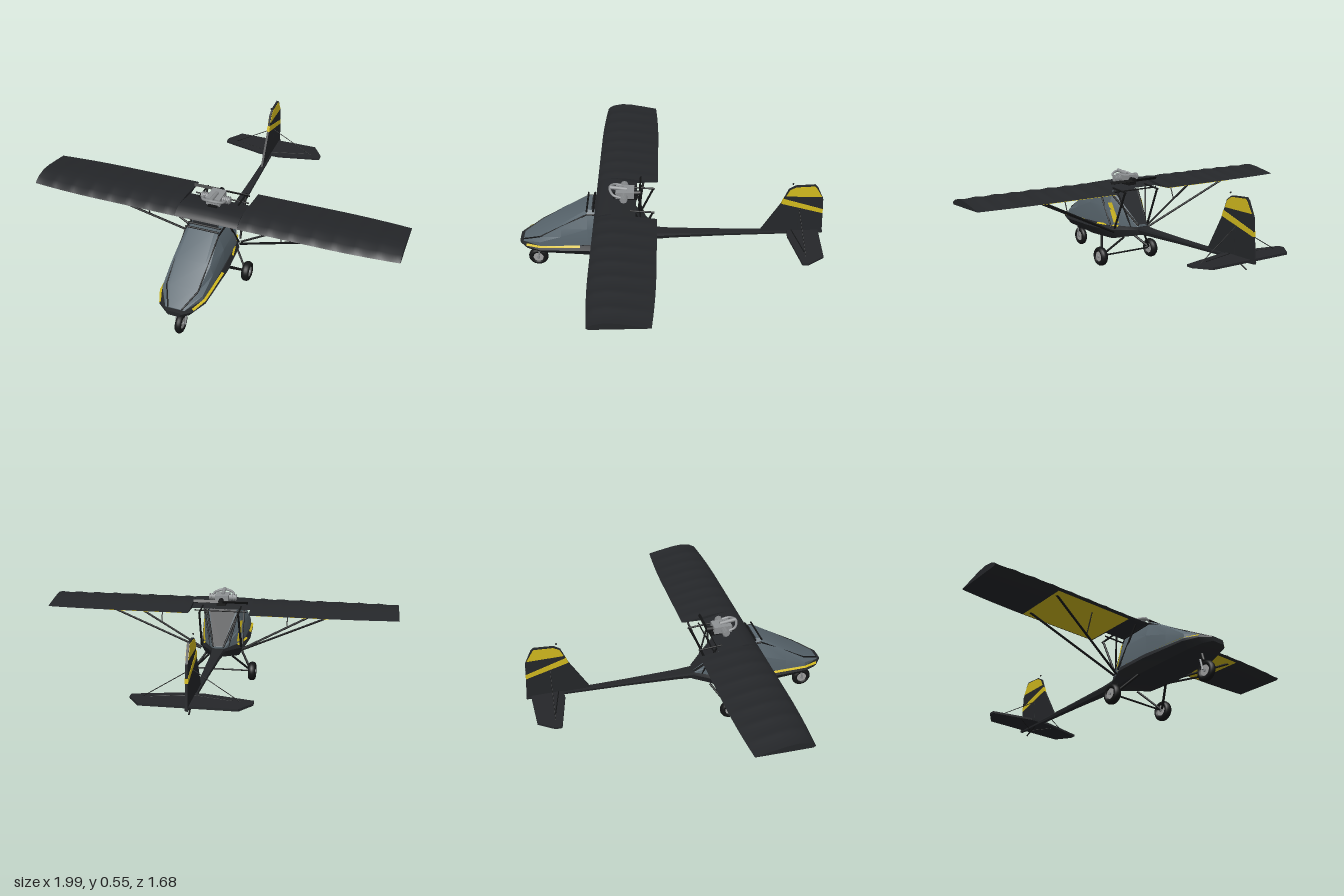
import * as THREE from 'three';
import { toCreasedNormals } from 'three/addons/utils/BufferGeometryUtils.js';

const paint = (color) => new THREE.MeshStandardMaterial({ color, side: THREE.DoubleSide });
const BLACK = paint(0x25272a), DARK = paint(0x141516), GLASS = paint(0x5a676f);
const YELLOW = paint(0xd2ba1e), METAL = paint(0x8f9294), RIM = paint(0xa0a0a0);
const V = (p) => new THREE.Vector3(...p);

export function createModel() {
  const model = new THREE.Group();
  model.name = 'ultralightAircraft';

  function add(name, geometry, material, parent = model) {
    const mesh = new THREE.Mesh(geometry, material);
    mesh.name = name;
    parent.add(mesh);
    return mesh;
  }

  // Skin through equal-length closed rings, capped at both ends
  function loft(rings, crease = 0.5) {
    const pos = [], n = rings[0].length, last = rings.length - 1;
    const tri = (a, b, c) => pos.push(...a, ...b, ...c);
    for (let i = 0; i < last; i++) {
      for (let j = 0; j < n; j++) {
        const k = (j + 1) % n, A = rings[i], B = rings[i + 1];
        tri(A[j], B[j], A[k]);
        tri(A[k], B[j], B[k]);
      }
    }
    for (let j = 1; j < n - 1; j++) {
      tri(rings[0][0], rings[0][j], rings[0][j + 1]);
      tri(rings[last][0], rings[last][j + 1], rings[last][j]);
    }
    const g = new THREE.BufferGeometry();
    g.setAttribute('position', new THREE.Float32BufferAttribute(pos, 3));
    return toCreasedNormals(g, crease);
  }

  // Straight round bar between two points
  function bar(name, a, b, r = 0.005, material = DARK, parent = model) {
    const p = V(a), q = V(b), d = q.clone().sub(p);
    const m = add(name, new THREE.CylinderGeometry(r, r, d.length(), 8), material, parent);
    m.position.copy(p).add(q).multiplyScalar(0.5);
    m.quaternion.setFromUnitVectors(new THREE.Vector3(0, 1, 0), d.normalize());
    return m;
  }

  // Mirrored pair of bars
  function bars(name, a, b, r, material) {
    for (const s of [1, -1]) bar(name, [a[0] * s, a[1], a[2]], [b[0] * s, b[1], b[2]], r, material);
  }

  function panel(name, pts, material) {
    const g = new THREE.BufferGeometry().setFromPoints([0, 1, 2, 0, 2, 3].map((i) => V(pts[i])));
    g.computeVertexNormals();
    return add(name, g, material);
  }

  const plate = (pts, depth) => new THREE.ExtrudeGeometry(
    new THREE.Shape(pts.map((p) => new THREE.Vector2(...p))), { depth, bevelEnabled: false });

  // Hull and tail boom: z, bottom, top, half width
  const hullRing = ([z, b, t, w]) => [[w * 0.9, t, z], [-w * 0.9, t, z], [-w, t - (t - b) * 0.35, z],
    [-w * 0.75, b, z], [w * 0.75, b, z], [w, t - (t - b) * 0.35, z]];
  add('hull', loft([[0.84, 0.175, 0.2, 0.04], [0.8, 0.165, 0.205, 0.09], [0.72, 0.155, 0.21, 0.122],
    [0.45, 0.145, 0.225, 0.138], [0.25, 0.15, 0.23, 0.128], [0.15, 0.175, 0.235, 0.07],
    [0.08, 0.192, 0.237, 0.036]].map(hullRing)), BLACK);
  add('tailBoom', loft([[0.1, 0.195, 0.236, 0.038], [0, 0.2, 0.233, 0.03], [-0.3, 0.21, 0.233, 0.02],
    [-0.84, 0.222, 0.236, 0.009]].map(hullRing)), BLACK);

  // Canopy: z, bottom, top, half width below and above
  const canopyRing = ([z, b, t, w, u]) => {
    const half = [[w, b], [w, b + (t - b) * 0.55], [u, t - (t - b) * 0.08], [u * 0.75, t]];
    return [...half.map(([x, y]) => [x, y, z]), ...half.reverse().map(([x, y]) => [-x, y, z])];
  };
  add('canopy', loft([[0.82, 0.198, 0.206, 0.05, 0.035], [0.72, 0.205, 0.262, 0.108, 0.085],
    [0.6, 0.21, 0.336, 0.116, 0.1], [0.455, 0.215, 0.428, 0.118, 0.09], [0.26, 0.225, 0.418, 0.116, 0.09],
    [0.09, 0.23, 0.246, 0.035, 0.027]].map(canopyRing), 0.35), GLASS);
  panel('rearFairing', [[0.078, 0.422, 0.262], [-0.078, 0.422, 0.262], [-0.026, 0.25, 0.085], [0.026, 0.25, 0.085]], BLACK);
  panel('roof', [[0.07, 0.431, 0.43], [-0.07, 0.431, 0.43], [-0.07, 0.421, 0.26], [0.07, 0.421, 0.26]], BLACK);
  bars('windscreenFrame', [0.084, 0.257, 0.72], [0.09, 0.411, 0.455], 0.004);
  bars('windscreenFrame', [0.036, 0.206, 0.82], [0.084, 0.257, 0.72], 0.004);
  bars('roofRail', [0.09, 0.411, 0.455], [0.09, 0.403, 0.26], 0.005);
  bars('rearFrame', [0.09, 0.405, 0.26], [0.028, 0.244, 0.09], 0.006);
  for (const z of [0.455, 0.42]) bar('roofCrossTube', [-0.09, 0.43, z], [0.09, 0.43, z], 0.005);

  // Yellow trim on the cabin and hull rim
  for (const s of [1, -1]) {
    panel('cabinStripe', [[0.114 * s, 0.36, 0.268], [0.103 * s, 0.36, 0.242],
      [0.092 * s, 0.25, 0.188], [0.108 * s, 0.25, 0.22]], YELLOW);
    panel('hullStripe', [[0.082 * s, 0.21, 0.8], [0.112 * s, 0.215, 0.72],
      [0.124 * s, 0.209, 0.72], [0.092 * s, 0.2, 0.8]], YELLOW);
    panel('hullStripe', [[0.112 * s, 0.215, 0.72], [0.124 * s, 0.225, 0.5],
      [0.136 * s, 0.217, 0.5], [0.124 * s, 0.209, 0.72]], YELLOW);
    panel('sillStripe', [[0.126 * s, 0.231, 0.36], [0.092 * s, 0.238, 0.19],
      [0.101 * s, 0.229, 0.19], [0.135 * s, 0.223, 0.36]], YELLOW);
  }

  // Wing with shallow scallops between the ribs and a notch for the propeller
  const profile = [[0, 0.441], [0.25, 0.457], [0.5, 0.471], [0.7, 0.476], [0.88, 0.466], [0.97, 0.452],
    [1, 0.441], [0.96, 0.434], [0.5, 0.437]];
  const wingRing = (x, te) => {
    const a = Math.abs(x), tip = Math.max(0, (a - 0.6) / 0.4) ** 2;
    const z0 = te + 0.018 * tip, z1 = 0.41 - 0.018 * tip;
    const sag = 0.005 * Math.abs(Math.sin(a * Math.PI * 9));
    return profile.map(([f, y], i) => [x, y - (i > 0 && i < 6 ? sag : 0), z0 + f * (z1 - z0)]);
  };
  const stations = [];
  for (let i = 0; i <= 60; i++) stations.push(0.995 - (0.825 * i) / 60);
  add('wing', loft([...stations.map((x) => wingRing(x, 0.075)), wingRing(0.17, 0.19), wingRing(0, 0.19),
    wingRing(-0.17, 0.19), ...stations.reverse().map((x) => wingRing(-x, 0.075))], 0.6), BLACK);
  for (const s of [1, -1]) {
    panel('wingUndersidePanel', [[0.18 * s, 0.4325, 0.395], [0.63 * s, 0.4325, 0.395],
      [0.63 * s, 0.437, 0.085], [0.18 * s, 0.437, 0.085]], YELLOW);
  }

  // Wing struts and cabin pylon tubes
  bars('frontWingStrut', [0.12, 0.2, 0.22], [0.61, 0.436, 0.35], 0.006);
  bars('rearWingStrut', [0.12, 0.2, 0.2], [0.61, 0.438, 0.12], 0.006);
  bars('juryStrut', [0.37, 0.32, 0.285], [0.37, 0.437, 0.33], 0.003);
  bars('pylonTube', [0.115, 0.22, 0.2], [0.11, 0.438, 0.1], 0.006);
  bars('pylonTube', [0.118, 0.22, 0.23], [0.11, 0.438, 0.37], 0.005);
  bars('pylonTube', [0.05, 0.235, 0.13], [0.1, 0.44, 0.2], 0.005);
  bar('pylonCrossTube', [-0.15, 0.436, 0.165], [0.15, 0.436, 0.165], 0.004);
  bars('trailingEdgeTube', [0.11, 0.44, 0.09], [0.11, 0.45, 0.22], 0.005);

  // Engine with opposed cylinders, exhaust loop and pusher propeller
  const engine = new THREE.Group();
  engine.name = 'engine';
  engine.position.set(0, 0.495, 0.25);
  model.add(engine);
  add('crankcase', new THREE.BoxGeometry(0.075, 0.04, 0.1), METAL, engine);
  add('engineMount', new THREE.BoxGeometry(0.05, 0.02, 0.13), DARK, engine).position.y = -0.025;
  for (const s of [1, -1]) {
    bar('cylinder', [0.03 * s, 0, 0.005], [0.08 * s, 0, 0.005], 0.016, METAL, engine);
    for (let i = 0; i < 4; i++) {
      const x = (0.044 + i * 0.01) * s;
      bar('coolingFin', [x - 0.002, 0, 0.005], [x + 0.002, 0, 0.005], 0.021, METAL, engine);
    }
  }
  const loop = [[-0.06, 0.005, 0.02], [-0.052, 0.016, 0.06], [0, 0.028, 0.082], [0.052, 0.016, 0.06], [0.06, 0.005, 0.02]];
  add('exhaustLoop', new THREE.TubeGeometry(new THREE.CatmullRomCurve3(loop.map(V)), 24, 0.007, 8), METAL, engine);
  bar('muffler', [0, 0.02, -0.01], [0, 0.032, 0.08], 0.011, METAL, engine);
  bar('propellerShaft', [0, -0.005, -0.05], [0, -0.005, -0.085], 0.014, DARK, engine);
  for (const s of [1, -1]) {
    const blade = add('propellerBlade', new THREE.BoxGeometry(0.15, 0.016, 0.004), DARK, engine);
    blade.position.set(0.08 * s, -0.007, -0.08);
    blade.rotation.x = 0.5 * s;
  }

  // Fin and rudder with yellow tip and band
  function finPlate(name, pts, depth, material) {
    add(name, plate(pts, depth).rotateY(-Math.PI / 2).translate(depth / 2, 0, 0), material);
  }
  finPlate('fin', [[-0.49, 0.23], [-0.6, 0.42], [-0.635, 0.51], [-0.67, 0.533], [-0.775, 0.54], [-0.79, 0.525],
    [-0.825, 0.45], [-0.838, 0.235]], 0.012, BLACK);
  finPlate('finTip', [[-0.622, 0.468], [-0.64, 0.508], [-0.672, 0.527], [-0.772, 0.533], [-0.783, 0.523],
    [-0.817, 0.466]], 0.016, YELLOW);
  finPlate('finBand', [[-0.6, 0.42], [-0.611, 0.452], [-0.829, 0.383], [-0.831, 0.356]], 0.016, YELLOW);
  bar('rudderHinge', [0, 0.235, -0.7], [0, 0.535, -0.7], 0.0065, BLACK);
  add('finBeacon', new THREE.SphereGeometry(0.005, 8, 6), DARK).position.set(0, 0.546, -0.655);

  // Stabilizer, brace wires and tail skid
  const tail = [[0.06, 0.64], [0.3, 0.695], [0.3, 0.73], [0.24, 0.815]];
  add('stabilizer', plate([...tail, ...tail.map(([x, y]) => [-x, y]).reverse()], 0.012)
    .rotateX(-Math.PI / 2).translate(0, 0.228, 0), BLACK);
  bars('elevatorHinge', [0, 0.239, -0.665], [0.2, 0.239, -0.715], 0.003);
  bars('tailBraceWire', [0.24, 0.238, -0.72], [0, 0.385, -0.7], 0.002);
  bars('lowerTailWire', [0.12, 0.23, -0.67], [0, 0.205, -0.74], 0.002);
  bar('tailSkid', [0, 0.235, -0.67], [0, 0.183, -0.78], 0.004);

  // Landing gear
  function wheel(name, x, z, width) {
    const g = new THREE.Group();
    g.name = name;
    g.position.set(x, 0.055, z);
    model.add(g);
    const tyre = add('tyre', new THREE.TorusGeometry(0.0395, 0.0155, 12, 32), DARK, g);
    tyre.rotation.y = Math.PI / 2;
    tyre.scale.z = width / 0.031;
    bar('rim', [-width * 0.35, 0, 0], [width * 0.35, 0, 0], 0.03, RIM, g);
    bar('hub', [-width * 0.5, 0, 0], [width * 0.5, 0, 0], 0.009, METAL, g);
  }
  for (const s of [1, -1]) wheel('mainWheel', 0.175 * s, 0.255, 0.042);
  wheel('noseWheel', 0, 0.755, 0.034);
  bar('mainAxle', [-0.175, 0.057, 0.255], [0.175, 0.057, 0.255], 0.005);
  bars('mainLeg', [0.09, 0.155, 0.375], [0.165, 0.06, 0.26], 0.007);
  bars('mainLegBrace', [0.07, 0.17, 0.17], [0.165, 0.06, 0.255], 0.006);
  bars('noseFork', [0.025, 0.115, 0.742], [0.025, 0.055, 0.755], 0.005, METAL);
  bar('noseForkCrown', [-0.029, 0.117, 0.742], [0.029, 0.117, 0.742], 0.006);
  bar('noseLeg', [0, 0.165, 0.73], [0, 0.115, 0.742], 0.009);
  return model;
}
